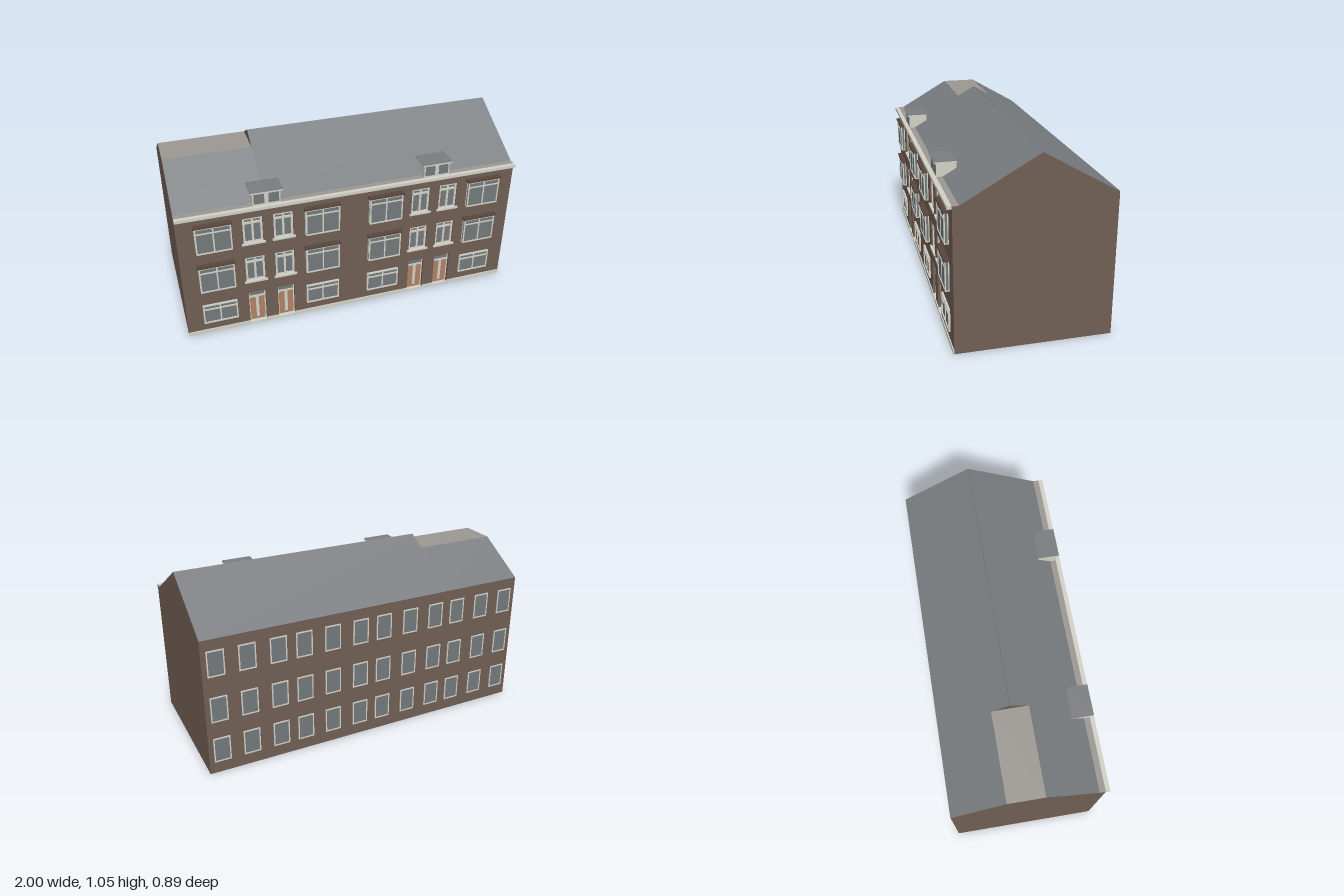
import * as THREE from 'three';

const mat = (name, color) => {
  const m = new THREE.MeshStandardMaterial({ color });
  m.name = name;
  return m;
};

export function createModel() {
  const brick = mat('brick', 0x705e54);
  const lintelBrown = mat('lintelBrown', 0x59463c);
  const white = mat('offWhite', 0xd2d1c7);
  const slate = mat('slate', 0x7a7d80);
  const flatGrey = mat('flatRoofGrey', 0x9b9792);
  const glass = mat('glass', 0x72787c);
  const wood = mat('doorWood', 0xb07f63);

  const model = new THREE.Group();
  model.name = 'terraceHouses';

  const add = (parent, name, geometry, material) => {
    const mesh = new THREE.Mesh(geometry, material);
    mesh.name = name;
    parent.add(mesh);
    return mesh;
  };
  // Box given by its limits on each axis
  const box = (parent, name, m, x0, x1, y0, y1, z0, z1) => {
    const mesh = add(parent, name, new THREE.BoxGeometry(x1 - x0, y1 - y0, z1 - z0), m);
    mesh.position.set((x0 + x1) / 2, (y0 + y1) / 2, (z0 + z1) / 2);
    return mesh;
  };
  const group = (name) => {
    const g = new THREE.Group();
    g.name = name;
    model.add(g);
    return g;
  };
  // Profile of [z, y] points extruded along x
  const prism = (parent, name, m, pts, x0, x1) => {
    const shape = new THREE.Shape(pts.map(([z, y]) => new THREE.Vector2(-z, y)));
    const g = new THREE.ExtrudeGeometry(shape, { depth: x1 - x0, bevelEnabled: false });
    g.rotateY(Math.PI / 2).translate(x0, 0, 0);
    return add(parent, name, g, m);
  };

  const BACK = -0.437, FRONT = 0.415, CORE = 0.39, EAVE = 0.81, FOOT = 0.38;
  const RIDGE = [-0.03, 1.045], CUT = 0.985, CUTB = -0.134, CUTF = 0.075;

  // Main body: full gable on the right, levelled ridge on the left
  const base = [[CORE, 0], [CORE, EAVE], [FOOT, EAVE]];
  const end = [[BACK, EAVE], [BACK, 0]];
  prism(model, 'mainBody', brick, [...base, RIDGE, ...end], -0.5, 1);
  prism(model, 'leftBody', brick, [...base, [CUTF, CUT], [CUTB, CUT], ...end], -1, -0.5);

  // Roof plates lying on the slopes
  const plate = (name, m, [z0, y0], [z1, y1], x0, x1) => {
    const mesh = add(model, name, new THREE.BoxGeometry(x1 - x0, 0.005, Math.hypot(z1 - z0, y1 - y0)), m);
    mesh.position.set((x0 + x1) / 2, (y0 + y1) / 2, (z0 + z1) / 2);
    mesh.rotation.x = -Math.atan2(y1 - y0, z1 - z0);
  };
  plate('frontRoof', slate, RIDGE, [FOOT, EAVE], -0.5, 1);
  plate('backRoof', slate, [BACK, EAVE], RIDGE, -0.5, 1);
  plate('leftFrontRoof', slate, [CUTF, CUT], [FOOT, EAVE], -1, -0.5);
  plate('leftBackRoof', slate, [BACK, EAVE], [CUTB, CUT], -1, -0.5);
  plate('flatRoof', flatGrey, [CUTB, CUT], [CUTF, CUT], -1, -0.5);

  // Front wall skin with door notches and narrow window openings
  const bays = [-0.585, -0.412, 0.412, 0.585];
  const rows = [[0.31, 0.478], [0.572, 0.74]];
  const DOOR = 0.05, DOORTOP = 0.23, NARROW = 0.056;
  const wall = new THREE.Shape();
  wall.moveTo(-1, 0);
  for (const x of bays) {
    wall.lineTo(x - DOOR, 0);
    wall.lineTo(x - DOOR, DOORTOP);
    wall.lineTo(x + DOOR, DOORTOP);
    wall.lineTo(x + DOOR, 0);
  }
  wall.lineTo(1, 0);
  wall.lineTo(1, EAVE);
  wall.lineTo(-1, EAVE);
  for (const x of bays) for (const [y0, y1] of rows) {
    wall.holes.push(new THREE.Path([[-1, y0], [-1, y1], [1, y1], [1, y0]]
      .map(([s, y]) => new THREE.Vector2(x + s * NARROW, y))));
  }
  const skin = new THREE.ExtrudeGeometry(wall, { depth: FRONT - CORE, bevelEnabled: false });
  add(model, 'frontWall', skin, brick).position.z = CORE;

  // Gutter, cornice and plinth
  box(model, 'gutterBed', flatGrey, -1, 1, EAVE - 0.003, EAVE + 0.002, FOOT - 0.003, FRONT);
  box(model, 'cornice', white, -1, 1, 0.795, EAVE + 0.002, FRONT, 0.44);
  const stops = [-1, ...bays.flatMap((x) => [x - DOOR, x + DOOR]), 1];
  for (let i = 0; i < stops.length; i += 2)
    box(model, 'plinth', white, stops[i], stops[i + 1], 0, 0.024, FRONT, 0.421);

  // Frame bars around and across a pane, on the front plane z1
  const bars = (g, x, w, y0, y1, z0, z1, t, mullion, transom) => {
    const a = x - w / 2, b = x + w / 2;
    box(g, 'frameBottom', white, a, b, y0, y0 + t, z0, z1);
    box(g, 'frameTop', white, a, b, y1 - t, y1, z0, z1);
    box(g, 'frameSide', white, a, a + t, y0, y1, z0, z1);
    box(g, 'frameSide', white, b - t, b, y0, y1, z0, z1);
    if (mullion) box(g, 'mullion', white, x - t / 2, x + t / 2, y0, y1, z0, z1 - 0.001);
    if (transom) box(g, 'transom', white, a, b, y1 - transom - t, y1 - transom, z0, z1 - 0.0005);
  };

  // Wide windows: boxed out on the upper floors, shallow at ground level
  for (const x of [-0.805, -0.19, 0.19, 0.805]) {
    const w = 0.2;
    for (const [y0, y1] of rows) {
      const g = group('bayWindow');
      box(g, 'glass', glass, x - w / 2 + 0.003, x + w / 2 - 0.003, y0 + 0.003, y1 - 0.003, FRONT, 0.436);
      bars(g, x, w, y0, y1, 0.433, 0.44, 0.008, true, 0.032);
      bars(g, x, w, y0, y1, FRONT, 0.421, 0.008);
      box(g, 'sill', white, x - w / 2, x + w / 2, y0, y0 + 0.006, FRONT, 0.44);
      box(g, 'lintel', lintelBrown, x - 0.106, x + 0.106, y1, y1 + 0.012, FRONT, 0.445);
    }
    const g = group('groundWindow');
    box(g, 'glass', glass, x - w / 2 + 0.003, x + w / 2 - 0.003, 0.078, 0.202, FRONT, 0.42);
    bars(g, x, w, 0.075, 0.205, FRONT, 0.426, 0.008, true, 0.028);
  }

  for (const x of bays) {
    // Narrow recessed windows with projecting sills
    for (const [y0, y1] of rows) {
      const g = group('narrowWindow');
      box(g, 'glass', glass, x - NARROW, x + NARROW, y0, y1, CORE, 0.4);
      bars(g, x, NARROW * 2, y0, y1, CORE, 0.408, 0.012, true, 0.03);
      box(g, 'sill', white, x - 0.067, x + 0.067, y0 - 0.004, y0 + 0.008, CORE, 0.424);
    }
    // Recessed door with fanlight, light centre panel and step
    const d = group('frontDoor');
    box(d, 'doorPanel', wood, x - DOOR, x + DOOR, 0.012, 0.182, CORE, 0.396);
    box(d, 'fanlight', glass, x - DOOR, x + DOOR, 0.182, DOORTOP, CORE, 0.396);
    box(d, 'doorHead', white, x - DOOR, x + DOOR, 0.18, 0.192, CORE, 0.4);
    box(d, 'centrePanel', white, x - 0.009, x + 0.009, 0.03, 0.18, CORE, 0.399);
    box(d, 'step', white, x - DOOR, x + DOOR, 0, 0.012, CORE, 0.419);
    for (const s of [-1, 1])
      box(d, 'jamb', white, x + s * 0.0465 - 0.0035, x + s * 0.0465 + 0.0035, 0.012, DOORTOP, CORE, 0.4);
  }

  // Dormers
  for (const x of [-0.5, 0.5]) {
    const g = group('dormer');
    prism(g, 'dormerBody', white, [[0.415, 0.812], [0.415, 0.893], [0.305, 0.893], [0.305, 0.84], [0.375, 0.812]],
      x - 0.078, x + 0.078);
    for (const s of [-1, 1])
      box(g, 'dormerGlass', glass, x + s * 0.041 - 0.029, x + s * 0.041 + 0.029, 0.822, 0.88, 0.41, 0.417);
    box(g, 'dormerFascia', white, x - 0.09, x + 0.09, 0.887, 0.897, 0.305, 0.425);
    box(g, 'dormerRoof', slate, x - 0.09, x + 0.09, 0.897, 0.9, 0.303, 0.426);
  }

  // Back windows, three rows mirrored about the middle
  for (const cx of [0.075, 0.25, 0.423, 0.574, 0.75, 0.923]) for (const s of [-1, 1])
    for (const [y0, y1] of [[0.07, 0.22], [0.322, 0.474], [0.596, 0.748]]) {
      const g = group('backWindow'), x = cx * s;
      box(g, 'glass', glass, x - 0.046, x + 0.046, y0 + 0.002, y1 - 0.002, -0.439, BACK);
      // Bars are laid from the wall outwards
      bars(g, x, 0.097, y0, y1, -0.442, BACK, 0.007);
    }

  return model;
}
